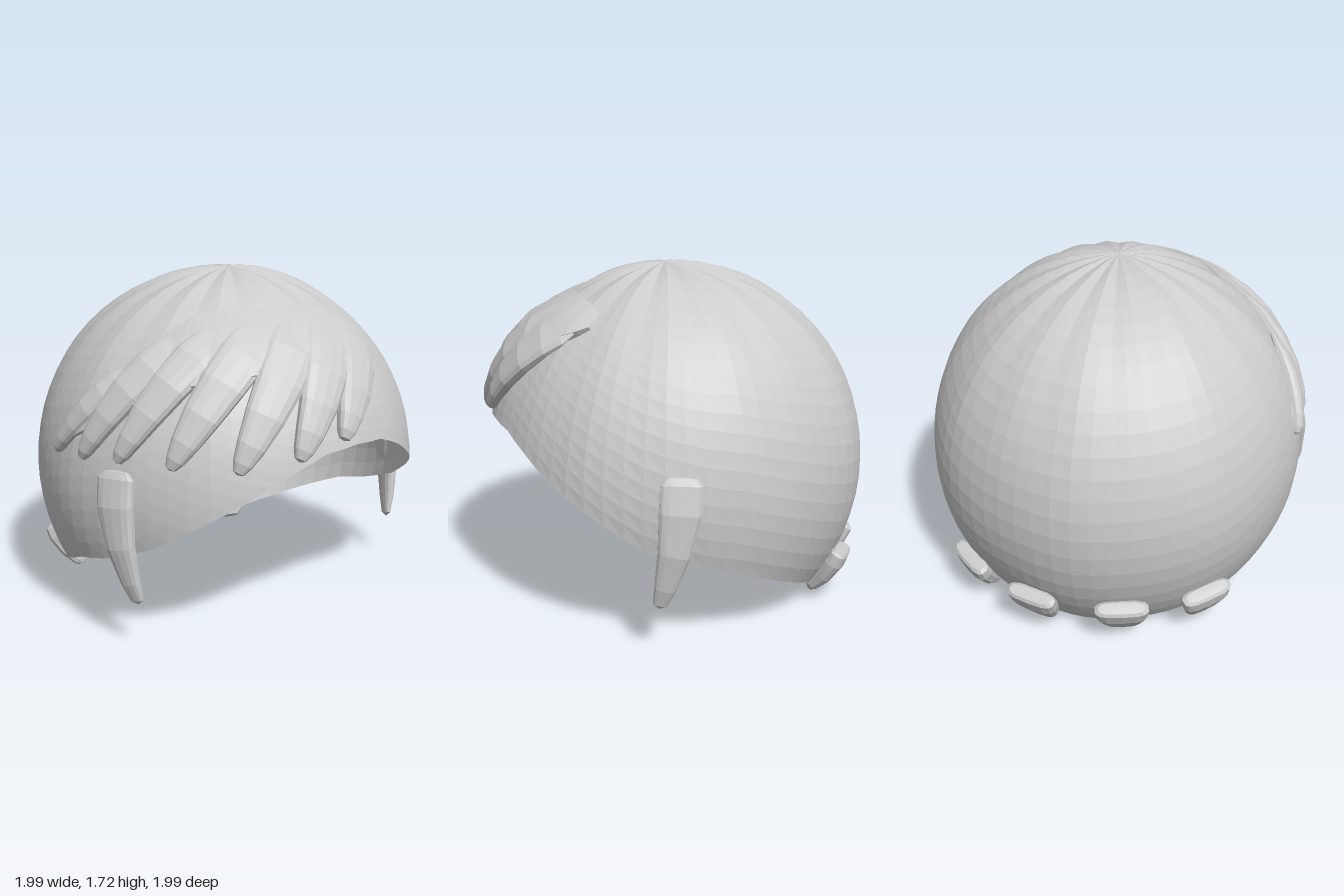
import * as THREE from 'three';

const V = (x, y, z) => new THREE.Vector3(x, y, z);
const CENTRE = V(0, 0.7, 0);
const RADII = V(0.98, 1.02, 0.995);

// Faceted surface through rows of points, each row a closed ring
function loft(rows) {
  const pos = [];
  const tri = (...ps) => ps.forEach((p) => pos.push(p.x, p.y, p.z));
  for (let i = 0; i < rows.length - 1; i++) {
    const n = rows[i].length;
    for (let j = 0; j < n; j++) {
      const k = (j + 1) % n;
      const a = rows[i][j], b = rows[i + 1][j], c = rows[i + 1][k], d = rows[i][k];
      if (b.distanceTo(c) > 1e-6) tri(a, b, c);
      if (a.distanceTo(d) > 1e-6) tri(a, c, d);
    }
  }
  const g = new THREE.BufferGeometry();
  g.setAttribute('position', new THREE.Float32BufferAttribute(pos, 3));
  g.computeVertexNormals();
  return g;
}

// Values between the rows of a small table whose first column rises
function lookUp(table, x, col = 1) {
  let i = 0;
  while (i < table.length - 2 && table[i + 1][0] < x) i++;
  const p = table[i], q = table[i + 1];
  return p[col] + (q[col] - p[col]) * (x - p[0]) / (q[0] - p[0]);
}

// Height of the cap's rim by angle from the front, in degrees
const RIM = [[0, 0.98], [12, 0.965], [22, 0.9], [31, 0.82], [44, 0.7], [62, 0.52], [77, 0.42], [90, 0.365],
  [101, 0.29], [117, 0.18], [130, 0.11], [150, 0.05], [180, 0.02]];

// Point on the cap's rounded body, by angle from the front and height
function onCap(deg, y, lift = 0) {
  const a = THREE.MathUtils.degToRad(deg);
  const h = (y - CENTRE.y) / RADII.y;
  const r = Math.sqrt(Math.max(0, 1 - h * h));
  return V(Math.sin(a) * r, h, Math.cos(a) * r).multiply(RADII).multiplyScalar(1 + lift).add(CENTRE);
}

// Open cap with shallow creases gathered at the crown
function capGeometry() {
  const rows = [], rings = 22, sides = 64;
  for (let i = 0; i <= rings; i++) {
    const t = i / rings, row = [];
    for (let j = 0; j < sides; j++) {
      const deg = (j / sides) * 360;
      const end = Math.acos((lookUp(RIM, Math.min(deg, 360 - deg)) - CENTRE.y) / RADII.y);
      const th = end * t;
      const fade = Math.max(0, 1 - th / 1.6);
      const crease = 0.008 * (Math.cos(j * Math.PI / 2) - 0.6) * fade * Math.min(1, th * 4);
      const wave = 0.004 * Math.cos(j * Math.PI / 4) * Math.sin(th) ** 2;
      const p = onCap(deg, CENTRE.y + RADII.y * Math.cos(th), crease + wave);
      p.z += 0.05 * Math.max(0, 1 - th / 0.9) ** 2;
      row.push(p);
    }
    rows.push(row);
  }
  return loft(rows);
}

// Tapered blade along a path: profile entries are [t, half width, half thickness]
function blade(points, profile, power = 0.8, sides = 14) {
  const curve = new THREE.CatmullRomCurve3(points);
  const bend = (v) => Math.sign(v) * Math.abs(v) ** power;
  return loft(profile.map(([t, w, h]) => {
    const c = curve.getPoint(t), T = curve.getTangent(t);
    const N = c.clone().sub(CENTRE).divide(RADII);
    N.addScaledVector(T, -N.dot(T)).normalize();
    const S = N.clone().cross(T);
    return Array.from({ length: sides }, (_, j) => {
      const a = (j / sides) * Math.PI * 2;
      return c.clone().addScaledVector(S, w * bend(Math.sin(a))).addScaledVector(N, h * bend(Math.cos(a)));
    });
  }));
}

// Fringe sheet above the slits: [angle, top height, bottom height, thickness]
const SHEET = [[-97, 1.0, 0.92, 0.015], [-88, 1.16, 1.0, 0.025], [-79, 1.3, 1.09, 0.03], [-67, 1.47, 1.19, 0.035],
  [-57, 1.55, 1.25, 0.04], [-41, 1.575, 1.29, 0.05], [-20, 1.575, 1.32, 0.06], [0, 1.575, 1.34, 0.066],
  [14, 1.57, 1.37, 0.06], [26, 1.55, 1.42, 0.04], [32, 1.53, 1.47, 0.015]];
function sheetGeometry() {
  const rows = [], columns = 36, steps = 7;
  for (let i = 0; i <= columns; i++) {
    const deg = 32 - (129 * i) / columns;
    const [top, bottom, thick] = [1, 2, 3].map((c) => lookUp(SHEET, deg, c));
    const row = [];
    for (let j = 0; j <= steps; j++) {
      const t = j / steps;
      row.push(onCap(deg, top + (bottom - top) * t, thick * (0.2 + 0.8 * Math.sin(t * Math.PI / 2))));
    }
    row.push(onCap(deg, bottom, -0.004), onCap(deg, top, -0.004));
    rows.push(row);
  }
  return loft(rows);
}

export function createModel() {
  const model = new THREE.Group();
  const grey = new THREE.MeshStandardMaterial({ color: 0xcccccc, side: THREE.DoubleSide });
  grey.name = 'light grey';
  const add = (name, geometry) => {
    const mesh = new THREE.Mesh(geometry, grey);
    mesh.name = name;
    model.add(mesh);
  };

  add('hairCap', capGeometry());
  add('fringeSheet', sheetGeometry());

  // Swept strands: [root angle, root height, tip angle, tip height, width scale, lift]
  const strands = [[24, 1.47, -6, 1.01, 1, 0.025], [10, 1.49, -21, 0.95, 1, 0.03], [-6, 1.49, -38, 0.91, 1, 0.026],
    [-24, 1.49, -56, 0.92, 0.95, 0.018], [-42, 1.48, -72, 0.92, 0.85, 0.01], [-59, 1.44, -85, 0.9, 0.8, 0.004],
    [-76, 1.29, -97, 0.89, 0.6, 0]];
  const strandProfile = [[0, 0, 0], [0.01, 0.08, 0.008], [0.1, 0.115, 0.02], [0.25, 0.122, 0.035], [0.45, 0.115, 0.045],
    [0.65, 0.095, 0.045], [0.82, 0.07, 0.042], [0.93, 0.048, 0.035], [0.985, 0.028, 0.02], [1, 0, 0]];
  strands.forEach(([a0, y0, a1, y1, s, lift], i) => {
    const root = onCap(a0, y0).sub(CENTRE).divide(RADII), tip = onCap(a1, y1).sub(CENTRE).divide(RADII);
    const path = [0, 0.25, 0.5, 0.75, 1].map((t) => root.clone().lerp(tip, t).normalize()
      .multiplyScalar(1.008 + lift * Math.sin(Math.PI * (0.2 + 0.65 * t))).multiply(RADII).add(CENTRE));
    add('fringeStrand' + (i + 1), blade(path, strandProfile.map(([t, w, h]) => [t, w * s, h]), 0.8));
  });

  // Sideburns and short nape tufts, mirrored
  const burnProfile = [[0, 0, 0], [0.01, 0.07, 0.012], [0.07, 0.1, 0.026], [0.3, 0.1, 0.038],
    [0.6, 0.078, 0.038], [0.85, 0.052, 0.028], [0.97, 0.034, 0.016], [1, 0, 0]];
  const tuftProfile = [[0, 0, 0], [0.01, 0.115, 0.03], [0.06, 0.135, 0.044], [0.3, 0.13, 0.052],
    [0.65, 0.1, 0.046], [0.92, 0.065, 0.032], [0.99, 0.045, 0.018], [1, 0, 0]];
  for (const [side, m] of [['left', 1], ['right', -1]]) {
    const mirrored = (pts) => pts.map(([x, y, z]) => V(x * m, y, z));
    add(side + 'Sideburn', blade(mirrored([[0.925, 0.89, 0.305], [0.947, 0.7, 0.325], [0.938, 0.48, 0.36], [0.887, 0.24, 0.408]]), burnProfile));
    add(side + 'InnerNapeTuft', blade(mirrored([[0.235, 0.27, -0.915], [0.22, 0.145, -0.835], [0.2, 0.015, -0.715]]), tuftProfile, 0.65));
    add(side + 'OuterNapeTuft', blade(mirrored([[0.625, 0.275, -0.7], [0.6, 0.165, -0.645], [0.55, 0.05, -0.555]]), tuftProfile, 0.65));
  }
  return model;
}
